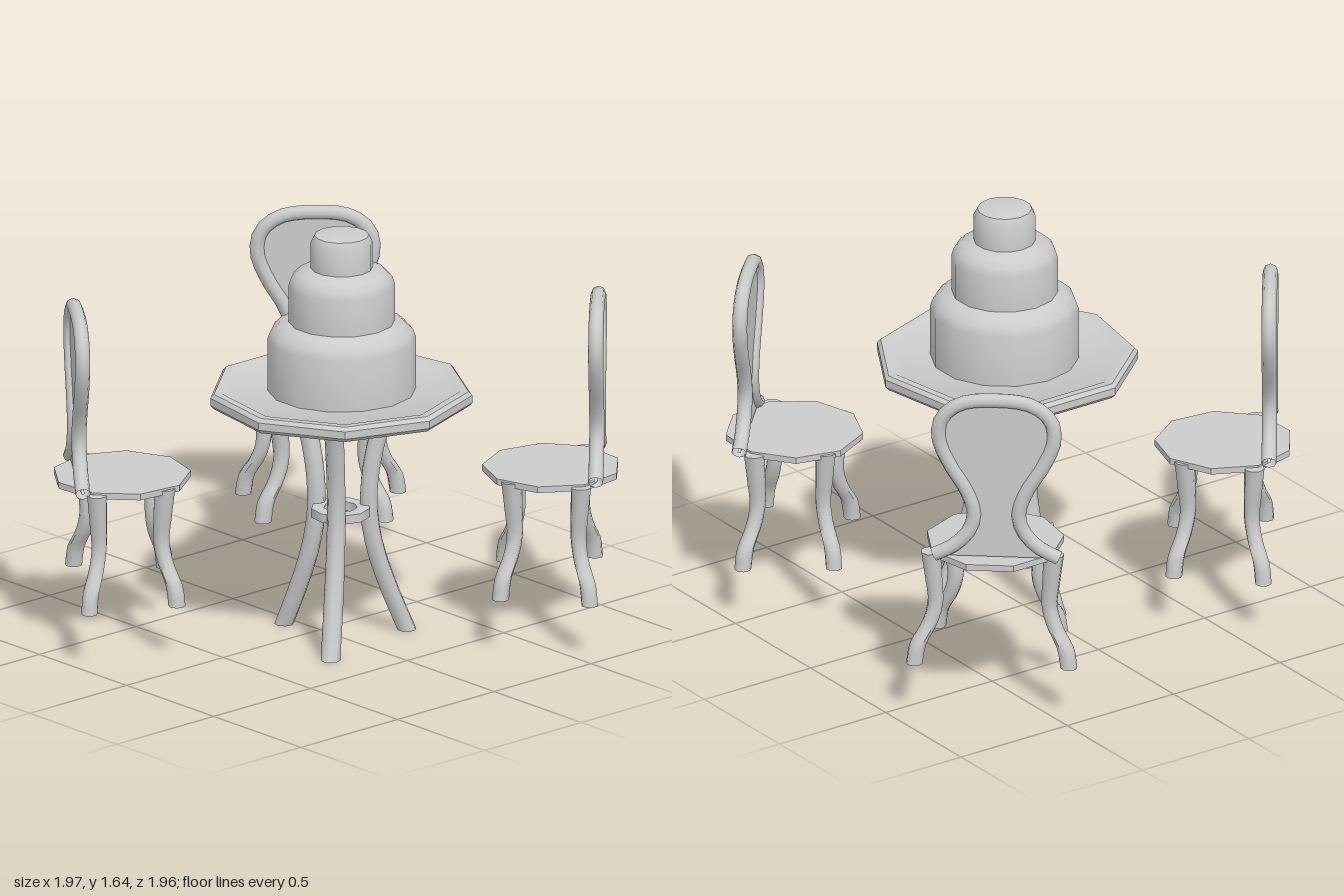
import * as THREE from 'three';
import { toCreasedNormals } from 'three/addons/utils/BufferGeometryUtils.js';

const material = new THREE.MeshStandardMaterial({ color: 0xcccccc });
const thin = new THREE.MeshStandardMaterial({ color: 0xcccccc, side: THREE.DoubleSide });

function part(name, geometry, crease = 0.6, mat = material) {
  const mesh = new THREE.Mesh(toCreasedNormals(geometry, crease), mat);
  mesh.name = name;
  return mesh;
}

// Turned solid from [radius, height] pairs, listed from bottom to top
function turned(name, profile, sides, crease) {
  const points = profile.map(([r, y]) => new THREE.Vector2(r, y));
  return part(name, new THREE.LatheGeometry(points, sides), crease);
}

// Curved leg with level ends; profile rows are [height, reach from centre, thickness]
function curvedLeg(name, profile, angle) {
  const path = new THREE.CatmullRomCurve3(profile.map(([y, reach, r]) => new THREE.Vector3(r, y, reach)));
  const geometry = new THREE.CylinderGeometry(1, 1, 1, 8, 14);
  const pos = geometry.attributes.position;
  for (let i = 0; i < pos.count; i++) {
    const p = path.getPoint(THREE.MathUtils.clamp(pos.getY(i) + 0.5, 0, 1));
    pos.setXYZ(i, pos.getX(i) * p.x, p.y, p.z + pos.getZ(i) * p.x);
  }
  const leg = part(name, geometry, 0.9);
  leg.rotation.y = angle;
  return leg;
}

function createTable() {
  const table = new THREE.Group();
  table.name = 'table';

  // Nine-sided top with a raised rim, hollowed slightly on both faces
  table.add(turned('tableTop', [
    [0, 0.975], [0.445, 0.975], [0.46, 0.96], [0.497, 0.96], [0.511, 0.975],
    [0.511, 1.005], [0.497, 1.02], [0.465, 1.02], [0.445, 1.008], [0, 1.008],
  ], 9, 0.6));

  // Three splayed legs tied by a ring
  const profile = [
    [0, 0.275, 0.038], [0.18, 0.2, 0.038], [0.35, 0.143, 0.037], [0.5, 0.118, 0.036],
    [0.65, 0.124, 0.036], [0.8, 0.155, 0.037], [0.98, 0.208, 0.038],
  ];
  for (const degrees of [70, 190, 310]) {
    table.add(curvedLeg('tableLeg', profile, THREE.MathUtils.degToRad(degrees)));
  }
  table.add(turned('legRing', [
    [0.065, 0.53], [0.065, 0.495], [0.115, 0.495], [0.115, 0.53], [0.065, 0.53],
  ], 9, 0.8));
  return table;
}

// Outline of one side of the chair back, from seat to crown
const backSide = [
  [0.24, 0.685], [0.165, 0.725], [0.105, 0.79], [0.085, 0.865], [0.115, 0.96],
  [0.18, 1.07], [0.222, 1.18], [0.208, 1.265], [0.135, 1.325],
];

function createChair() {
  const chair = new THREE.Group();
  chair.name = 'chair';

  // Nine-sided seat with a lip underneath
  const seat = turned('seat', [
    [0, 0.668], [0.235, 0.668], [0.24, 0.655], [0.268, 0.655], [0.268, 0.68], [0, 0.68],
  ], 9, 0.5);
  seat.position.z = -0.02;
  chair.add(seat);

  // S-curved legs: front pair set further in than the back pair
  const legs = [['frontLeg', 0.235, 0.17, 0.29], ['backLeg', 0.298, -0.175, 0.345]];
  for (const [name, x, z, reach] of legs) {
    const profile = [
      [0.213, reach, 0.033], [0.29, reach - 0.015, 0.033], [0.37, reach - 0.065, 0.031],
      [0.45, reach - 0.09, 0.031], [0.55, reach - 0.083, 0.035], [0.672, reach - 0.07, 0.04],
    ];
    for (const side of [-1, 1]) chair.add(curvedLeg(name, profile, Math.atan2(side * x, z)));
  }

  // Balloon-shaped back: bent frame around a thin panel
  const outline = [
    ...backSide.map(([x, y]) => new THREE.Vector3(-x, y, 0)),
    new THREE.Vector3(0, 1.342, 0),
    ...backSide.map(([x, y]) => new THREE.Vector3(x, y, 0)).reverse(),
  ];
  const curve = new THREE.CatmullRomCurve3(outline);
  const back = new THREE.Group();
  back.name = 'chairBack';
  back.position.set(-0.02, 0, -0.195);
  back.add(part('backFrame', new THREE.TubeGeometry(curve, 44, 0.029, 8), 0.9, thin));
  const shape = new THREE.Shape(curve.getPoints(44).map((p) => new THREE.Vector2(p.x, p.y)));
  const panel = new THREE.ExtrudeGeometry(shape, { depth: 0.012, bevelEnabled: false });
  panel.translate(0, 0, -0.006);
  back.add(part('backPanel', panel));
  chair.add(back);
  return chair;
}

export function createModel() {
  const model = new THREE.Group();
  model.name = 'tableWithCakeAndChairs';

  const table = createTable();
  table.position.set(-0.004, 0, 0.122);
  model.add(table);

  // Three-tier cake with rounded shoulders
  const cake = turned('cake', [
    [0, 1.005], [0.286, 1.005], [0.286, 1.215], [0.275, 1.245], [0.245, 1.272], [0.205, 1.285],
    [0.205, 1.43], [0.195, 1.46], [0.17, 1.485], [0.119, 1.5],
    [0.119, 1.605], [0.105, 1.632], [0.06, 1.64], [0, 1.643],
  ], 14, 0.7);
  cake.position.set(0, 0, 0.124);
  model.add(cake);

  // Chairs around the table: x, z, and the direction each one faces
  const places = [[-0.637, -0.402, 0.807, 0.59], [0.572, -0.622, -0.64, 0.77], [0.622, 0.61, -0.72, -0.69]];
  for (const [x, z, faceX, faceZ] of places) {
    const chair = createChair();
    chair.position.set(x, 0, z);
    chair.rotation.y = Math.atan2(faceX, faceZ);
    model.add(chair);
  }
  return model;
}
